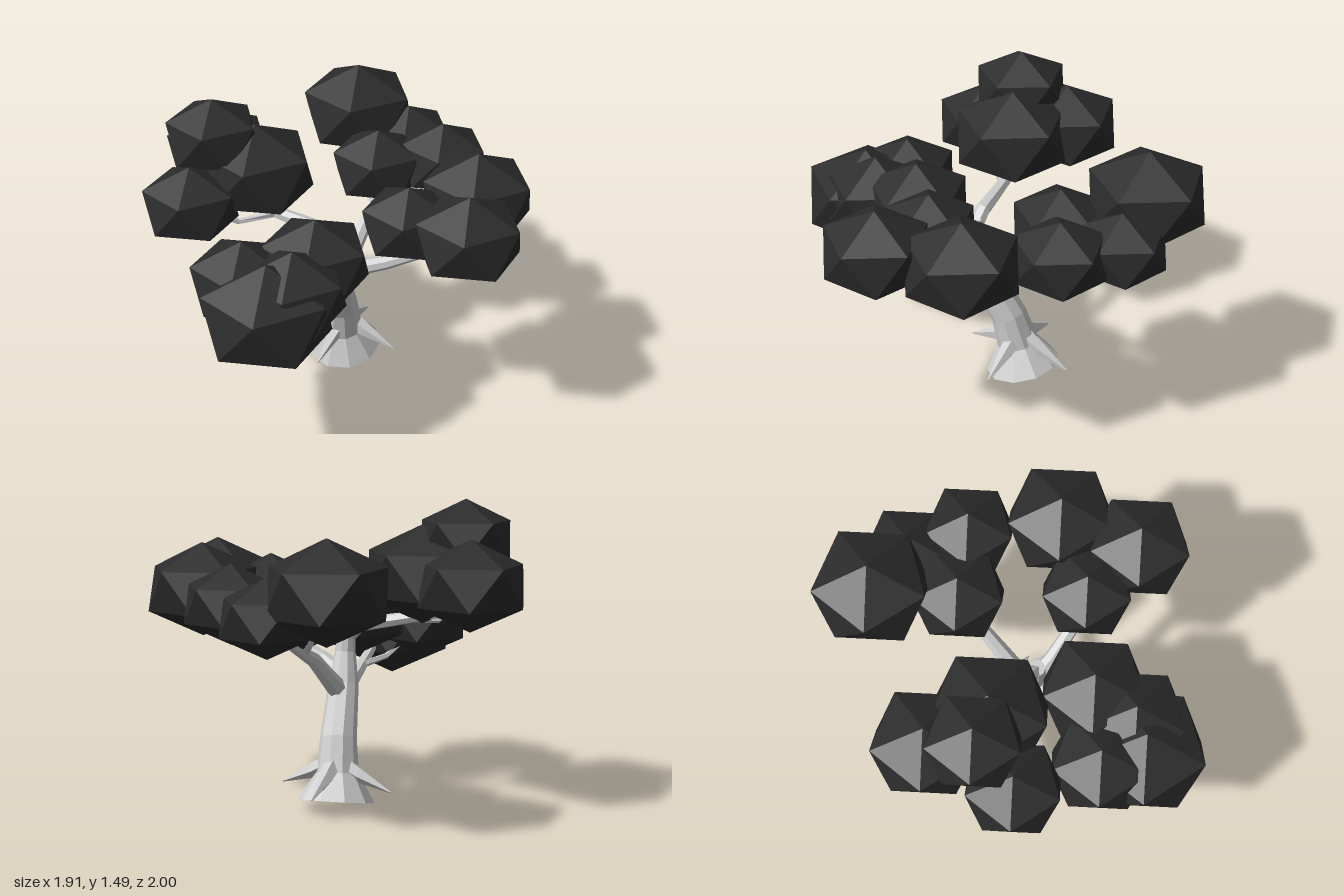
import * as THREE from 'three';
import { ConvexGeometry } from 'three/addons/geometries/ConvexGeometry.js';

const V = (x, y, z) => new THREE.Vector3(x, y, z);

// Faceted leaf clump: a squashed icosahedron standing on its point
function clumpGeometry(r) {
  const h = r * 0.86, pts = [V(0, h, 0), V(0, -h, 0)];
  for (let k = 0; k < 5; k++) {
    const a = (k * Math.PI * 2) / 5;
    pts.push(V(r * Math.cos(a), h * 0.447, r * Math.sin(a)));
    pts.push(V(-r * Math.cos(a), -h * 0.447, r * Math.sin(a)));
  }
  return new ConvexGeometry(pts);
}

// Tapered limb: rings of the given radius, square to the path; rows are [x, y, z, radius]
function limbGeometry(rows, sides) {
  const c = rows.map(([x, y, z]) => V(x, y, z));
  const pos = [], index = [], n = rows.length;
  const dir0 = c[n - 1].clone().sub(c[0]).normalize();
  const ref = Math.abs(dir0.x) < 0.7 ? V(1, 0, 0) : V(0, 0, 1);
  c.forEach((p, i) => {
    const t = c[Math.min(i + 1, n - 1)].clone().sub(c[Math.max(i - 1, 0)]).normalize();
    const u = ref.clone().addScaledVector(t, -ref.dot(t)).normalize();
    const w = t.clone().cross(u);
    for (let k = 0; k < sides; k++) {
      const a = ((k + 0.5) / sides) * Math.PI * 2;
      const q = p.clone().addScaledVector(u, rows[i][3] * Math.cos(a)).addScaledVector(w, rows[i][3] * Math.sin(a));
      pos.push(q.x, q.y, q.z);
    }
  });
  for (let i = 0; i < n - 1; i++) {
    for (let k = 0; k < sides; k++) {
      const a = i * sides + k, b = i * sides + ((k + 1) % sides);
      index.push(a, b, b + sides, a, b + sides, a + sides);
    }
  }
  // End caps
  for (let k = 1; k < sides - 1; k++) {
    const e = (n - 1) * sides;
    index.push(0, k + 1, k, e, e + k, e + k + 1);
  }
  const g = new THREE.BufferGeometry();
  g.setAttribute('position', new THREE.Float32BufferAttribute(pos, 3));
  g.setIndex(index);
  const flat = g.toNonIndexed();
  flat.computeVertexNormals();
  return flat;
}

export function createModel() {
  const tree = new THREE.Group();
  tree.name = 'tree';
  const bark = new THREE.MeshStandardMaterial({ color: 0xcccccc });
  bark.name = 'pale bark';
  const leaves = new THREE.MeshStandardMaterial({ color: 0x2b2b2b });
  leaves.name = 'dark leaves';

  const add = (name, geometry, material) => {
    const m = new THREE.Mesh(geometry, material);
    m.name = name;
    tree.add(m);
    return m;
  };
  const limb = (name, sides, rows) => add(name, limbGeometry(rows, sides), bark);

  // Leaning trunk with a flared foot
  limb('trunk', 10, [
    [-0.085, 0.05, -0.19, 0.188],
    [-0.08, 0.18, -0.16, 0.105],
    [-0.065, 0.34, -0.115, 0.09],
    [-0.035, 0.58, 0.015, 0.075],
    [-0.025, 0.74, 0.06, 0.052],
    [-0.03, 0.86, 0.07, 0.042],
  ]);

  // Four pointed roots around the foot
  for (const [dx, dz] of [[1, 0], [-1, 0], [0, 1], [0, -1]]) {
    const at = (d, y, r) => [-0.077 + dx * d, y, -0.17 + dz * d, r];
    limb('root', 5, [at(0.04, 0.23, 0.045), at(0.12, 0.185, 0.038), at(0.285, 0.115, 0.004)]);
  }

  // Main limbs
  limb('backLimb', 7, [
    [-0.03, 0.54, 0.0, 0.055], [-0.02, 0.63, -0.12, 0.045], [-0.01, 0.75, -0.28, 0.036],
    [0.0, 0.85, -0.5, 0.025], [-0.02, 0.95, -0.7, 0.01],
  ]);
  limb('frontLimb', 7, [
    [-0.03, 0.54, 0.03, 0.05], [-0.02, 0.6, 0.2, 0.035], [-0.01, 0.69, 0.42, 0.025], [0.0, 0.78, 0.62, 0.01],
  ]);
  limb('leftLimb', 7, [
    [-0.03, 0.62, 0.04, 0.05], [0.1, 0.7, 0.06, 0.04], [0.27, 0.78, 0.055, 0.034],
    [0.48, 0.89, 0.03, 0.024], [0.66, 1.0, 0.05, 0.01],
  ]);
  limb('rightLimb', 7, [
    [-0.01, 0.8, 0.065, 0.042], [-0.1, 0.88, 0.065, 0.038], [-0.27, 0.91, 0.08, 0.032],
    [-0.48, 0.95, 0.1, 0.024], [-0.65, 1.05, 0.1, 0.01],
  ]);

  // Thin twigs reaching into the side clumps
  const twigs = [
    [[-0.01, 0.8, -0.36], [0.12, 0.88, -0.48], [0.24, 1.0, -0.58]],
    [[-0.01, 0.8, -0.38], [-0.12, 0.9, -0.52], [-0.25, 1.05, -0.68]],
    [[0.38, 0.84, 0.04], [0.48, 0.9, -0.1], [0.57, 1.0, -0.25]],
    [[-0.3, 0.92, 0.08], [-0.45, 0.9, 0.22], [-0.58, 1.0, 0.36]],
    [[-0.02, 0.64, 0.28], [-0.1, 0.67, 0.42], [-0.2, 0.78, 0.56]],
  ];
  for (const t of twigs) limb('twig', 5, t.map((p, i) => [...p, [0.02, 0.015, 0.006][i]]));

  // Leaf clumps: x, y, z, radius
  const clumps = {
    backClump: [[-0.28, 1.135, -0.735, 0.28], [0.0, 1.01, -0.76, 0.215], [0.265, 1.04, -0.59, 0.22], [-0.015, 1.01, -0.425, 0.225]],
    leftClump: [[0.585, 1.06, -0.275, 0.265], [0.705, 1.065, 0.11, 0.247], [0.375, 1.025, 0.05, 0.22]],
    rightClump: [[-0.705, 1.11, -0.04, 0.255], [-0.605, 1.31, 0.17, 0.223], [-0.415, 1.14, 0.1, 0.28], [-0.605, 1.05, 0.395, 0.226]],
    frontClump: [[0.045, 0.895, 0.36, 0.255], [-0.21, 0.85, 0.6, 0.24], [0.055, 0.86, 0.6, 0.25], [-0.015, 0.792, 0.715, 0.3]],
  };
  for (const [name, list] of Object.entries(clumps)) {
    for (const [x, y, z, r] of list) add(name, clumpGeometry(r), leaves).position.set(x, y, z);
  }
  return tree;
}
